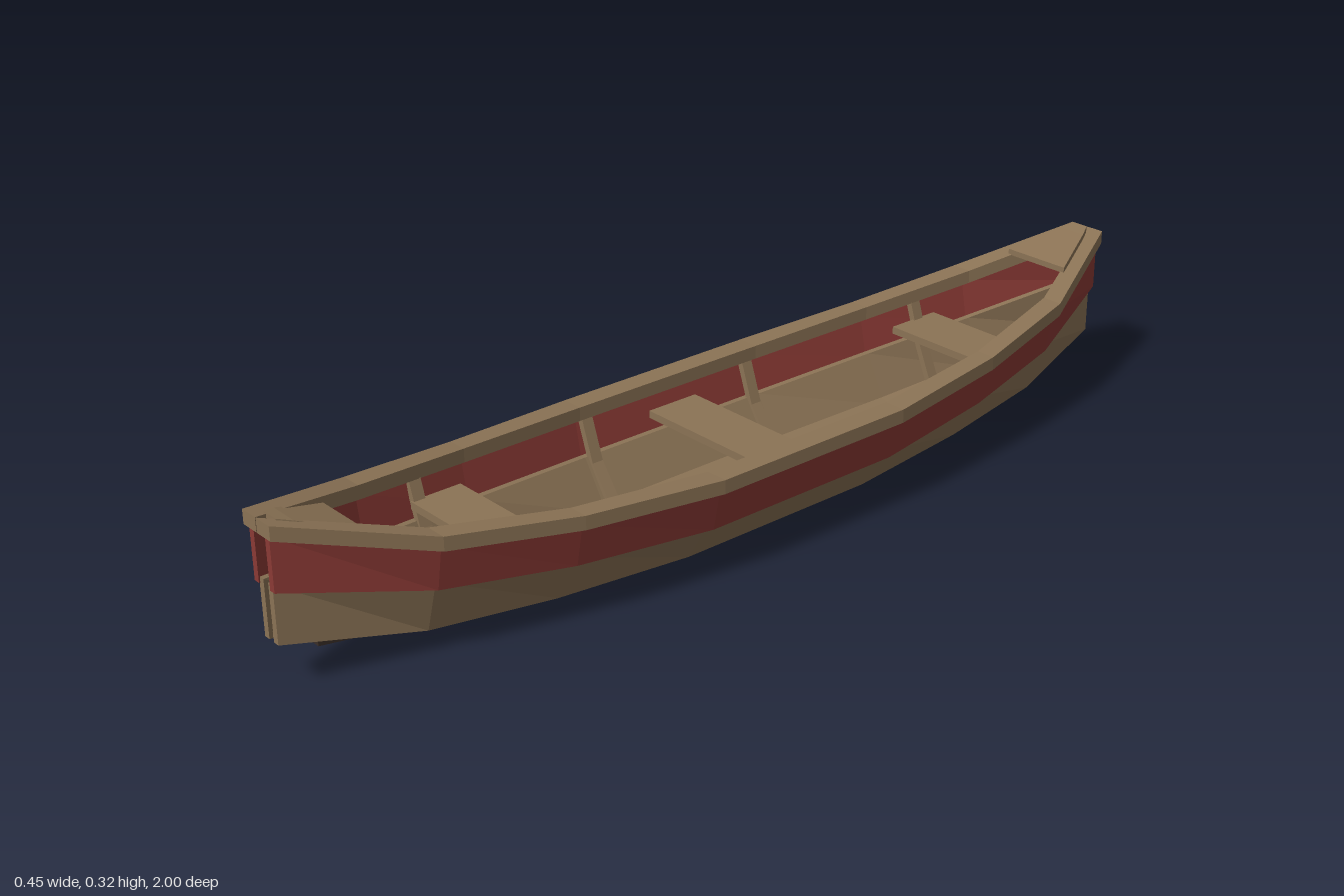
import * as THREE from 'three';

const wood = new THREE.MeshStandardMaterial({ color: 0x8b7355 });
wood.name = 'wood';
const red = new THREE.MeshStandardMaterial({ color: 0x8b3a35 });
red.name = 'red paint';
const dark = new THREE.MeshStandardMaterial({ color: 0x3a2e28 });
dark.name = 'dark keel';

// Half-hull measurements, midship to end
const half = [
  { z: 0.22, rail: 0.225, railIn: 0.18, top: 0.205, redTop: 0.211, redBot: 0.193, redY: 0.096, bot: 0.124, botY: 0.014 },
  { z: 0.5, rail: 0.193, railIn: 0.153, top: 0.22, redTop: 0.18, redBot: 0.163, redY: 0.113, bot: 0.103, botY: 0.025 },
  { z: 0.75, rail: 0.145, railIn: 0.102, top: 0.25, redTop: 0.132, redBot: 0.116, redY: 0.139, bot: 0.075, botY: 0.045 },
  { z: 1, rail: 0.04, railIn: 0.001, top: 0.315, redTop: 0.03, redBot: 0.03, redY: 0.19, bot: 0.02, botY: 0.09 },
];
const stations = [...half.map((s) => ({ ...s, z: -s.z })).reverse(), ...half];

// Interpolated measurements at any z
function at(z) {
  const i = Math.min(stations.length - 2, Math.max(0, stations.findIndex((s) => s.z > z) - 1));
  const a = stations[i], b = stations[i + 1], t = (z - a.z) / (b.z - a.z);
  return Object.fromEntries(Object.keys(a).map((k) => [k, a[k] + (b[k] - a[k]) * t]));
}

// Flat-faced solid through rings of points, counter-clockwise from +z, ordered by rising z
function loft(rings) {
  const p = [];
  const quad = (a, b, c, d) => p.push(...a, ...b, ...c, ...a, ...c, ...d);
  const n = rings[0].length, last = rings[rings.length - 1];
  for (let r = 0; r < rings.length - 1; r++) {
    for (let i = 0; i < n; i++) {
      const j = (i + 1) % n;
      quad(rings[r][i], rings[r][j], rings[r + 1][j], rings[r + 1][i]);
    }
  }
  for (let i = 1; i < n - 1; i++) {
    p.push(...last[0], ...last[i], ...last[i + 1]);
    p.push(...rings[0][0], ...rings[0][i + 1], ...rings[0][i]);
  }
  const g = new THREE.BufferGeometry();
  g.setAttribute('position', new THREE.Float32BufferAttribute(p, 3));
  g.computeVertexNormals();
  return g;
}

const ring = (z, pts) => pts.map(([x, y]) => [x, y, z]);
const slab = (z, w, y0, y1) => ring(z, [[-w, y0], [w, y0], [w, y1], [-w, y1]]);
const mirror = (rings) => rings.map((r) => r.map(([x, y, z]) => [-x, y, z]).reverse());

export function createModel() {
  const boat = new THREE.Group();
  boat.name = 'rowingBoat';
  const add = (name, rings, mat) => {
    const m = new THREE.Mesh(loft(rings), mat);
    m.name = name;
    boat.add(m);
  };
  const addPair = (name, rings, mat) => {
    add('left' + name, rings, mat);
    add('right' + name, mirror(rings), mat);
  };

  // Side planks and rails
  const t = 0.013;
  addPair('LowerPlank', stations.map((s) => ring(s.z * 0.993, [
    [s.bot - t, s.botY], [s.bot, s.botY],
    [s.redBot - t + 0.003, s.redY + 0.01], [s.redBot - 2 * t + 0.003, s.redY + 0.01],
  ])), wood);
  addPair('UpperPlank', stations.map((s) => ring(s.z * 0.996, [
    [s.redBot - t, s.redY], [s.redBot, s.redY],
    [s.redTop, s.top - 0.024], [s.redTop - t, s.top - 0.024],
  ])), red);
  addPair('Rail', stations.map((s) => ring(s.z, [
    [s.railIn, s.top - 0.027], [s.rail, s.top - 0.027], [s.rail, s.top], [s.railIn, s.top],
  ])), wood);

  // Shallow V bottom
  add('bottom', stations.map((s) => {
    const w = s.bot - 0.005, y = s.botY + 0.004, c = s.botY - 0.006;
    return ring(s.z * 0.985, [[0, c], [w, y], [w, y + 0.01], [0, c + 0.012], [-w, y + 0.01], [-w, y]]);
  }), wood);

  // Keel
  const keel = [[0.22, 0], [0.5, 0.01], [0.75, 0.031], [0.92, 0.059]];
  const keelLine = [...keel.map(([z, y]) => [-z, y]).reverse(), ...keel];
  add('keel', keelLine.map(([z, y]) => slab(z, 0.018, y, y + 0.015)), dark);

  // Ribs and floor timbers
  for (const z of [-0.62, -0.2, 0.2, 0.62]) {
    const s = at(z), d = 0.012, e = 0.014;
    const outer = [[s.bot - 0.01, s.botY + 0.006], [s.redBot - 0.023, s.redY], [s.redTop - 0.012, s.top - 0.026]];
    for (let i = 0; i < 2; i++) {
      const [a, b] = [outer[i], outer[i + 1]];
      const section = [[a[0] - e, a[1]], a, b, [b[0] - e, b[1]]];
      addPair(i ? 'UpperRib' : 'LowerRib', [ring(z - d, section), ring(z + d, section)], wood);
    }
    const w = s.bot - 0.012;
    add('floorTimber', [z - d, z + d].map((q) => slab(q, w, s.botY + 0.004, s.botY + 0.02)), wood);
  }

  // Seats
  for (const [z0, z1, w, y] of [[-0.67, -0.55, 0.125, 0.157], [-0.063, 0.052, 0.182, 0.132], [0.53, 0.635, 0.125, 0.157]]) {
    add('seat', [z0, z1].map((z) => slab(z, w, y, y + 0.015)), wood);
  }

  // End decks
  add('backDeck', [slab(-0.975, 0.018, 0.313, 0.325), slab(-0.95, 0.03, 0.305, 0.317), slab(-0.84, 0.075, 0.272, 0.284)], wood);
  add('frontDeck', [slab(0.84, 0.07, 0.25, 0.262), slab(0.95, 0.03, 0.292, 0.304), slab(0.975, 0.018, 0.299, 0.311)], wood);
  return boat;
}
